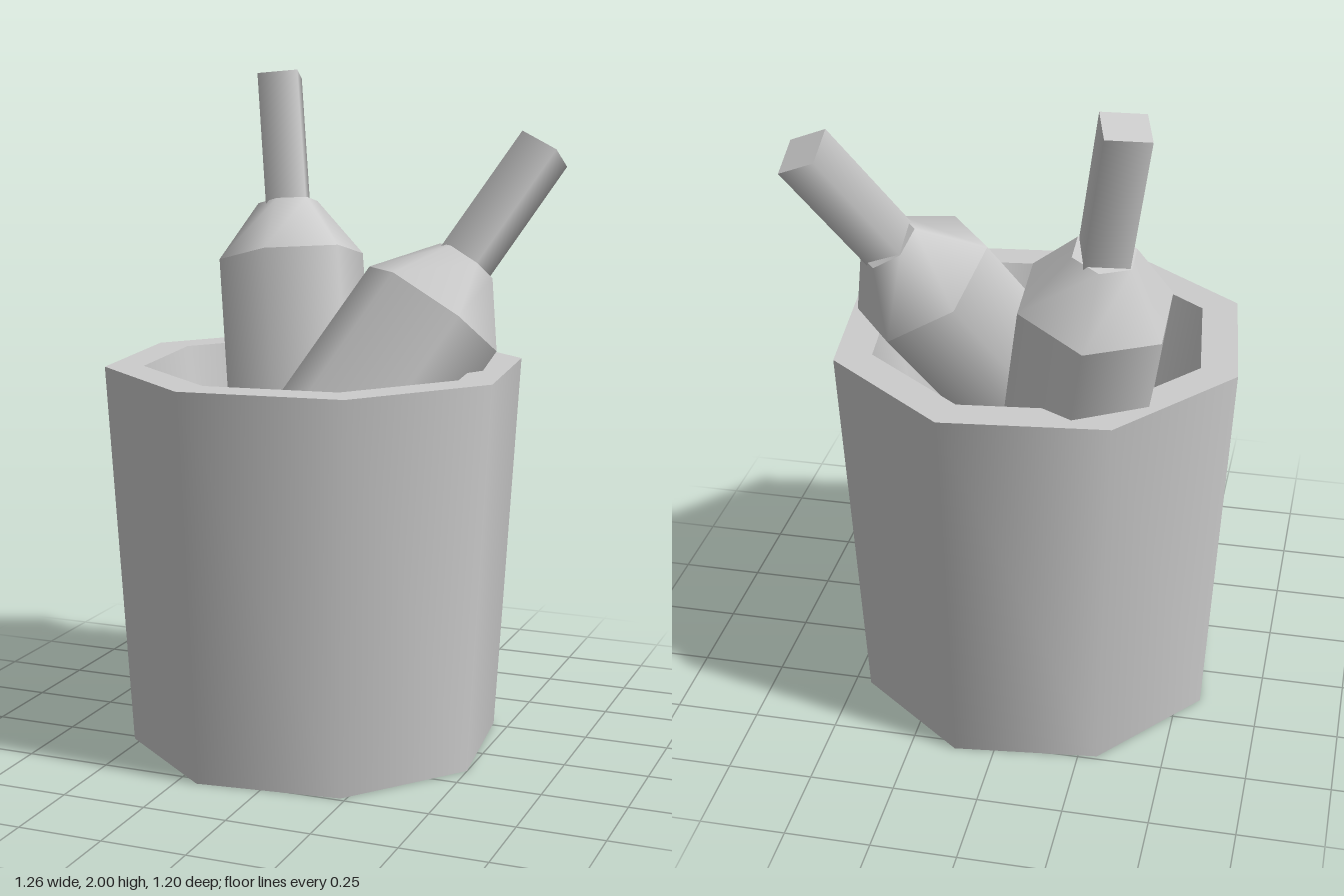
import * as THREE from 'three';
import { mergeGeometries } from 'three/addons/utils/BufferGeometryUtils.js';

const material = new THREE.MeshStandardMaterial({ color: 0xcccccc, side: THREE.DoubleSide });

function part(name, geometry, y = 0) {
  const mesh = new THREE.Mesh(geometry, material);
  mesh.name = name;
  mesh.position.y = y;
  return mesh;
}

// Eight-sided bucket, open underneath with a raised floor:
// each profile step is its own band, so the rims stay sharp
function makeBucket() {
  const profile = [
    [0.557, 0], [0.624, 1.15], [0.51, 1.15], [0.41, 0.51], [0, 0.51],
  ].map(([r, y]) => new THREE.Vector2(r, y));
  const bands = [];
  for (let i = 0; i < profile.length - 1; i++) {
    bands.push(new THREE.LatheGeometry([profile[i], profile[i + 1]], 8, THREE.MathUtils.degToRad(-61)));
  }
  const bucket = part('bucket', mergeGeometries(bands));
  bucket.position.x = -0.036;
  return bucket;
}

// Bottle with its origin at the base of the shoulder, leaning along axis;
// corner points towards one corner of the square neck
function makeBottle(name, origin, axis, corner) {
  const bottle = new THREE.Group();
  bottle.name = name;
  const radius = 0.228, length = 0.95, shoulder = 0.172;
  const neckStart = 0.155, neckEnd = 0.576;
  bottle.add(
    part('bottleBody', new THREE.CylinderGeometry(radius, radius, length, 6), -length / 2),
    part('bottleShoulder', new THREE.CylinderGeometry(0.094, radius, shoulder, 6), shoulder / 2),
    part('bottleNeck', new THREE.CylinderGeometry(0.089, 0.089, neckEnd - neckStart, 4), (neckStart + neckEnd) / 2),
  );
  const y = new THREE.Vector3(...axis).normalize();
  const x = new THREE.Vector3().crossVectors(y, new THREE.Vector3(...corner)).normalize();
  const z = new THREE.Vector3().crossVectors(x, y);
  bottle.quaternion.setFromRotationMatrix(new THREE.Matrix4().makeBasis(x, y, z));
  bottle.position.set(...origin);
  return bottle;
}

export function createModel() {
  const model = new THREE.Group();
  model.name = 'bottleBucket';
  model.add(
    makeBucket(),
    makeBottle('uprightBottle', [-0.256, 1.423, -0.34], [-0.154, 0.965, -0.208], [0.87, 0.23, 0.46]),
    makeBottle('leaningBottle', [0.305, 1.32, -0.067], [0.46, 0.79, -0.39], [0.14, 0.01, 0.18]),
  );
  return model;
}
